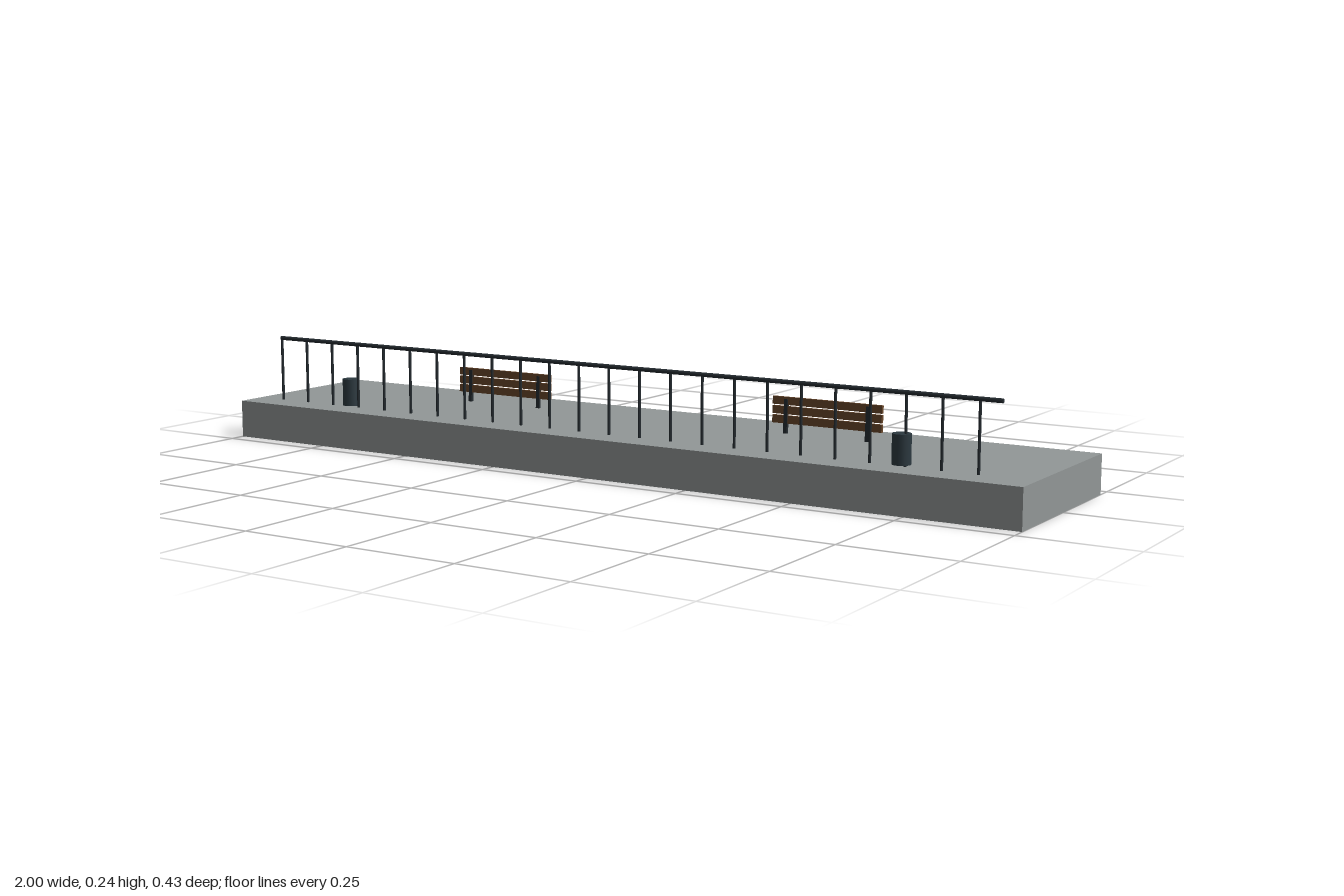
import * as THREE from 'three';

const mat = (color) => new THREE.MeshStandardMaterial({ color });

export function createModel() {
  const model = new THREE.Group();
  model.name = 'promenade';
  const stone = mat(0x929797);
  const iron = mat(0x252c31);
  const binPaint = mat(0x2c3940);
  const wood = mat(0x69472b);
  const top = 0.087;

  const add = (parent, name, geometry, material, x, y, z) => {
    const mesh = new THREE.Mesh(geometry, material);
    mesh.name = name;
    mesh.position.set(x, y, z);
    parent.add(mesh);
    return mesh;
  };

  // Paved slab
  add(model, 'platform', new THREE.BoxGeometry(2, top, 0.426), stone, 0, top / 2, 0);

  // Railing: a row of slim posts under one long handrail
  const railing = new THREE.Group();
  railing.name = 'railing';
  model.add(railing);
  const railY = 0.237, railZ = 0.143;
  const postGeo = new THREE.CylinderGeometry(0.0032, 0.0032, railY - top, 8);
  for (let i = 0; i < 24; i++) {
    add(railing, 'post', postGeo, iron, -0.929 + i * 0.0786, (railY + top) / 2, railZ);
  }
  const rail = add(railing, 'handrail', new THREE.CylinderGeometry(0.0048, 0.0048, 1.857, 10),
    iron, -0.002, railY, railZ);
  rail.rotation.z = Math.PI / 2;

  // Litter bins, standing just clear of the paving
  const binGeo = new THREE.CylinderGeometry(0.0198, 0.0198, 0.063, 16);
  for (const x of [-0.715, 0.713]) add(model, 'bin', binGeo, binPaint, x, 0.1228, railZ);

  // Slatted benches on two leaning supports
  const slatGeo = new THREE.BoxGeometry(0.264, 0.0175, 0.008);
  const legGeo = new THREE.BoxGeometry(0.009, 0.076, 0.007);
  for (const x of [-0.431, 0.429]) {
    const bench = new THREE.Group();
    bench.name = 'bench';
    bench.position.set(x, 0, 0);
    model.add(bench);
    for (let i = 0; i < 3; i++) {
      const slat = add(bench, 'slat', slatGeo, wood, 0, 0.1175 + i * 0.0205, -0.0825 - i * 0.0008);
      slat.rotation.x = -0.05;
    }
    for (const side of [-1, 1]) {
      const leg = add(bench, 'benchLeg', legGeo, iron, side * 0.099, 0.1245, -0.081);
      leg.rotation.x = -0.05;
    }
  }
  return model;
}
